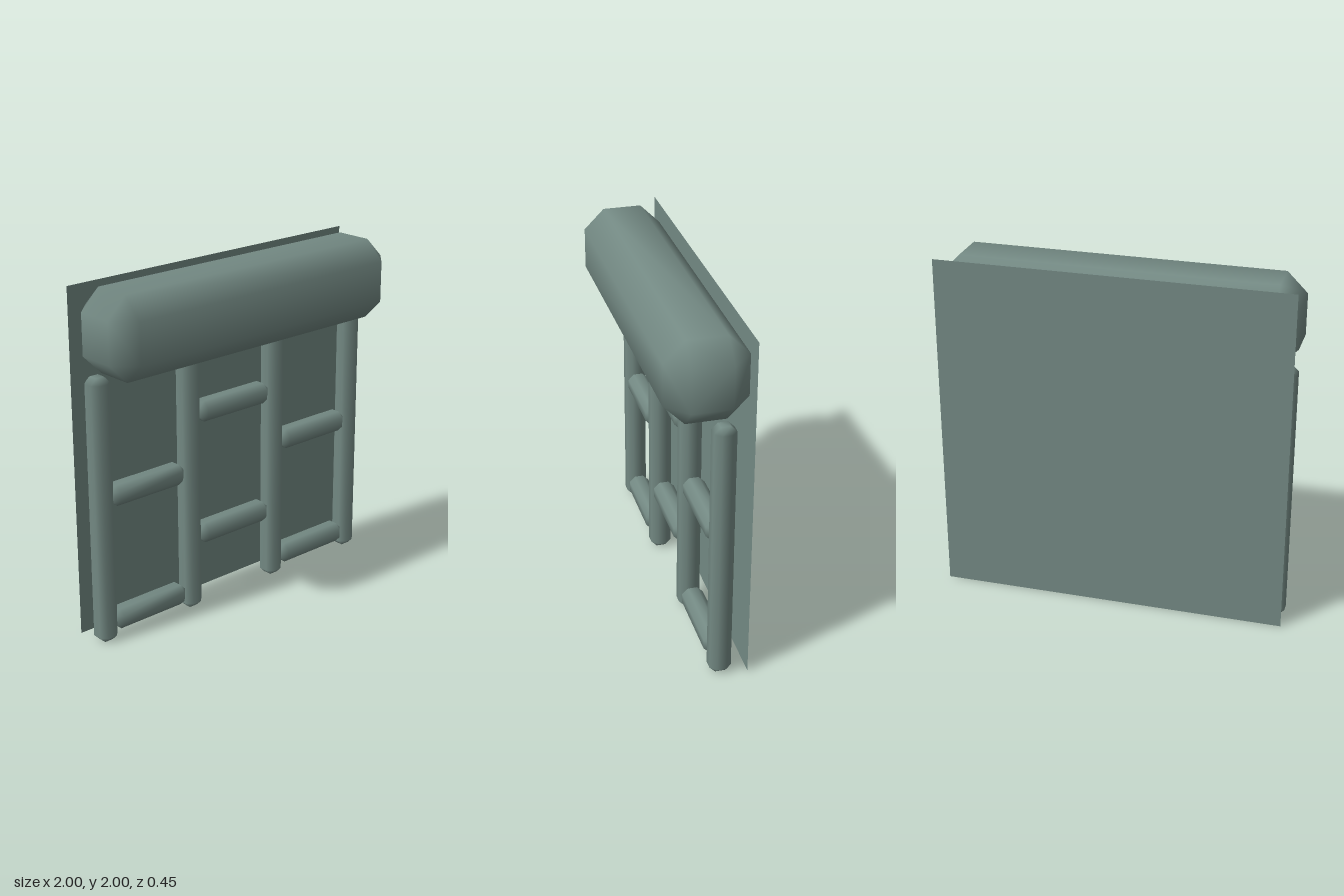
import * as THREE from 'three';
import { ConvexGeometry } from 'three/addons/geometries/ConvexGeometry.js';
import { mergeVertices } from 'three/addons/utils/BufferGeometryUtils.js';

// Box with every edge chamfered and softly shaded
function chamferBox(w, h, d, c) {
  const points = [];
  for (const sx of [-1, 1]) for (const sy of [-1, 1]) for (const sz of [-1, 1]) {
    const x = w / 2, y = h / 2, z = d / 2;
    points.push(
      new THREE.Vector3(sx * x, sy * (y - c), sz * (z - c)),
      new THREE.Vector3(sx * (x - c), sy * y, sz * (z - c)),
      new THREE.Vector3(sx * (x - c), sy * (y - c), sz * z),
    );
  }
  const hull = new ConvexGeometry(points);
  hull.deleteAttribute('normal');
  const geometry = mergeVertices(hull, 1e-4);
  geometry.computeVertexNormals();
  return geometry;
}

export function createModel() {
  const model = new THREE.Group();
  model.name = 'timberWall';
  const material = new THREE.MeshStandardMaterial({ color: 0x748a84 });
  const panelMaterial = new THREE.MeshStandardMaterial({ color: 0x748a84, side: THREE.DoubleSide });

  const add = (name, geometry, x, y, z, mat = material) => {
    const mesh = new THREE.Mesh(geometry, mat);
    mesh.name = name;
    mesh.position.set(x, y, z);
    model.add(mesh);
  };

  // Thin back panel
  add('backPanel', new THREE.PlaneGeometry(2, 2), 0, 1, -0.226, panelMaterial);

  // Heavy beam along the top
  add('topBeam', chamferBox(2, 0.465, 0.45, 0.115), 0, 1.7675, 0);

  // Upright posts
  const thick = 0.122, chamfer = 0.034, z = -0.08;
  const postGeometry = chamferBox(thick, 1.535, thick, chamfer);
  [-0.938, -0.322, 0.316, 0.938].forEach((x, i) => add(`post${i + 1}`, postGeometry, x, 0.7675, z));

  // Staggered rungs: [bay, centre x, length, heights]
  const bays = [
    ['right', -0.635, 0.5, [0.105, 0.847]],
    ['middle', -0.003, 0.515, [0.435, 1.175]],
    ['left', 0.63, 0.51, [0.105, 0.847]],
  ];
  for (const [bay, x, length, heights] of bays) {
    const geometry = chamferBox(length, thick, thick, chamfer);
    heights.forEach((y, i) => add(`${bay}Rung${i + 1}`, geometry, x, y, z));
  }
  return model;
}
